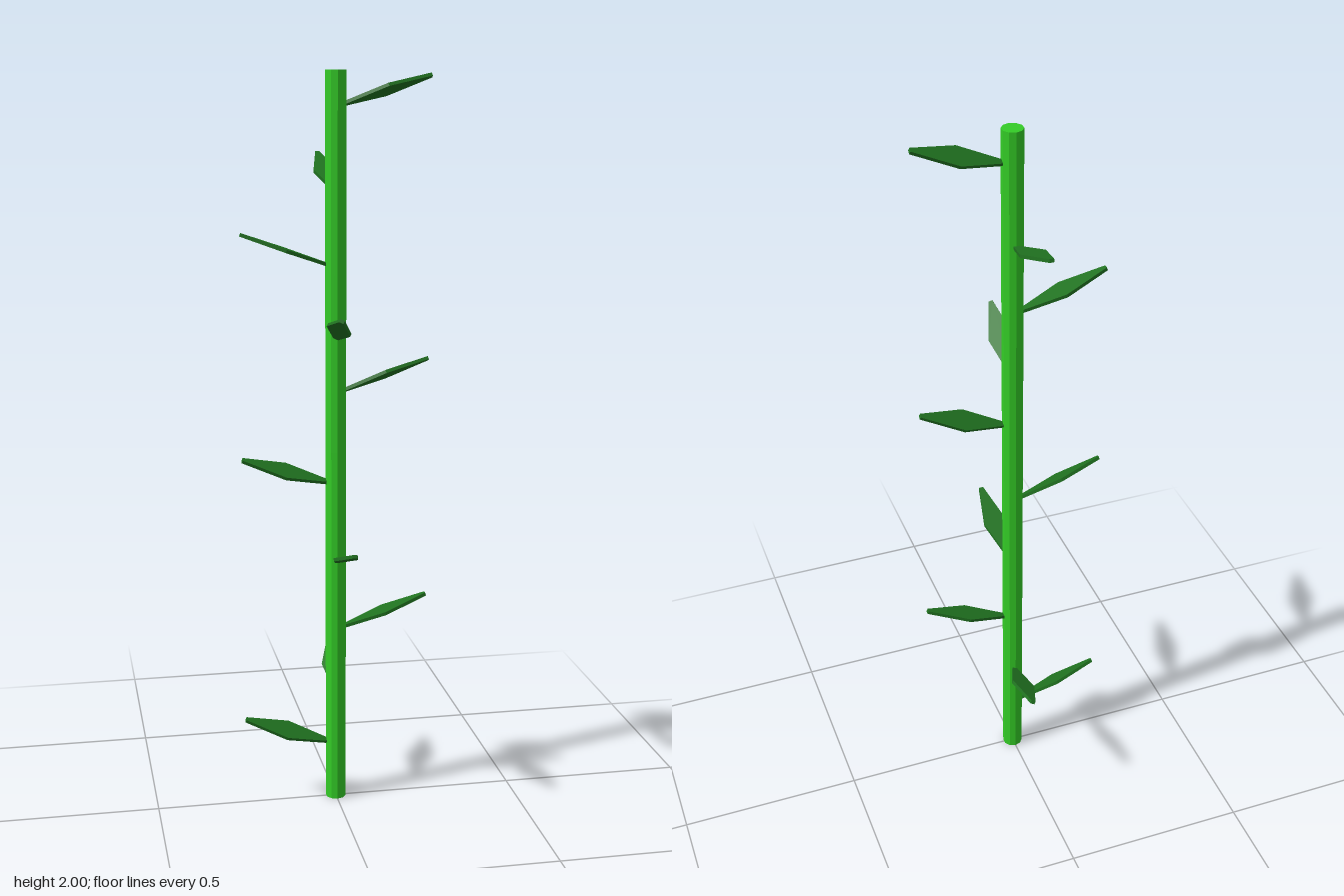
import * as THREE from 'three';

const stalkMat = new THREE.MeshStandardMaterial({ color: 0x33cc26, flatShading: true });
const leafMat = new THREE.MeshStandardMaterial({ color: 0x207220, flatShading: true });

// Thin diamond blade growing along +x, with blunt ends
function leafGeometry() {
  const t = 0.009;
  const outline = [[0.015, 0.004], [0.143, 0.033], [0.267, 0.006]];
  const mirrored = outline.map(([x, y]) => [x, -y]).reverse();
  const shape = new THREE.Shape([...outline, ...mirrored].map(([x, y]) => new THREE.Vector2(x, y)));
  return new THREE.ExtrudeGeometry(shape, { depth: t, bevelEnabled: false })
    .translate(0, 0, -t / 2)
    .rotateX(-Math.PI / 2);
}

// Leaves of one segment: height, heading, upward pitch and roll in degrees
const LEAVES = [
  [0.158, 180, 19, -25],
  [0.303, 83, 19, -25],
  [0.494, -1, 19.6, 0],
  [0.688, -89, 19.6, 0],
  [0.908, 182, 17, -25],
];

// One length of stalk with its five leaves
function makeSegment(name) {
  const segment = new THREE.Group();
  segment.name = name;
  const stalk = new THREE.Mesh(new THREE.CylinderGeometry(0.028, 0.028, 1, 10), stalkMat);
  stalk.name = 'stalk';
  stalk.position.y = 0.5;
  segment.add(stalk);

  const geometry = leafGeometry();
  const rad = THREE.MathUtils.degToRad;
  LEAVES.forEach(([y, heading, pitch, roll], i) => {
    const leaf = new THREE.Mesh(geometry, leafMat);
    leaf.name = `leaf${i + 1}`;
    leaf.position.y = y;
    leaf.rotation.set(rad(roll), rad(heading), rad(pitch), 'YZX');
    segment.add(leaf);
  });
  return segment;
}

export function createModel() {
  const model = new THREE.Group();
  model.name = 'leafyStalk';
  const lower = makeSegment('lowerSegment');
  // Upper segment repeats the lower one, turned half way round
  const upper = makeSegment('upperSegment');
  upper.position.y = 1;
  upper.rotation.y = Math.PI;
  model.add(lower, upper);
  return model;
}
